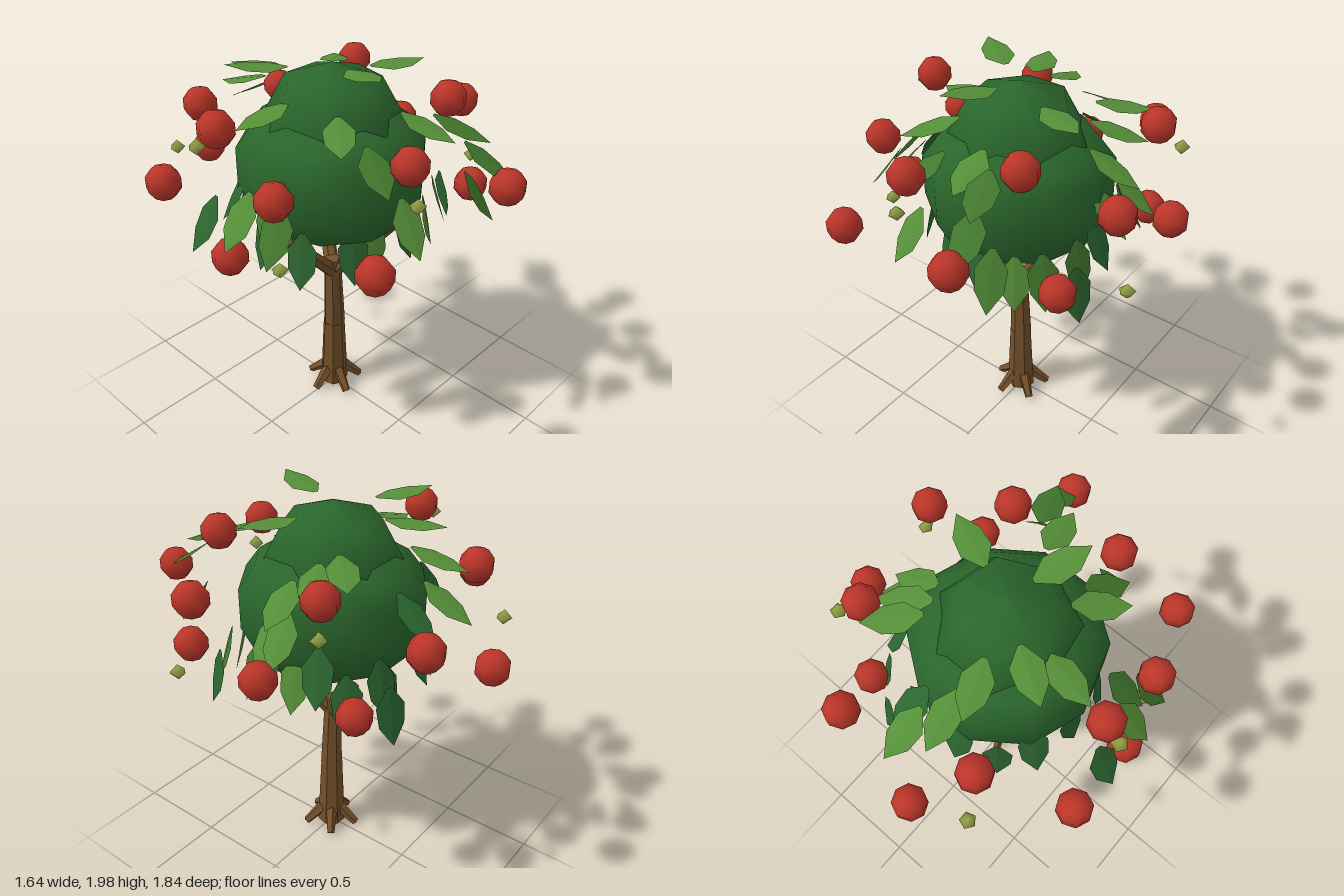
import * as THREE from 'three';

const V = (x, y, z) => new THREE.Vector3(x, y, z);

function material(name, color, options = {}) {
  const m = new THREE.MeshStandardMaterial({ color, ...options });
  m.name = name;
  return m;
}

// Tapered limb between two points
function limb(name, a, b, rA, rB, sides, mat) {
  const dir = b.clone().sub(a);
  const mesh = new THREE.Mesh(new THREE.CylinderGeometry(rB, rA, dir.length(), sides), mat);
  mesh.position.copy(a).add(b).multiplyScalar(0.5);
  mesh.quaternion.setFromUnitVectors(V(0, 1, 0), dir.normalize());
  mesh.name = name;
  return mesh;
}

// Broad pointed leaf along z, barely folded at the midrib
function leafGeometry() {
  const g = new THREE.PlaneGeometry(2, 1, 2, 3).rotateX(-Math.PI / 2);
  const widths = [0.012, 0.074, 0.066, 0];
  const along = [-0.14, -0.05, 0.05, 0.15];
  const p = g.attributes.position;
  for (let i = 0; i < p.count; i++) {
    const row = Math.floor(i / 3);
    const x = Math.sign(Math.round(p.getX(i))) * widths[row];
    p.setXYZ(i, x, -Math.abs(x) * 0.1, along[row]);
  }
  g.computeVertexNormals();
  return g;
}

// Leaf centres x, y, z and colour index (0 light, 1 mid, 2 dark)
const upperLeaves = [
  [-0.09, 1.97, 0.26, 0], [-0.30, 1.955, -0.20, 0], [0.30, 1.90, 0.125, 0], [-0.15, 1.88, -0.37, 0],
  [-0.40, 1.78, -0.06, 0], [-0.11, 1.76, -0.53, 0], [0.015, 1.63, -0.66, 0], [0.09, 1.55, -0.55, 2],
  [0.35, 1.80, -0.34, 0], [0.40, 1.73, -0.22, 0], [0.47, 1.62, -0.08, 0], [0.55, 1.49, -0.14, 0],
  [-0.29, 1.76, 0.31, 0], [-0.22, 1.62, 0.47, 1], [0.09, 1.74, 0.49, 0], [0.225, 1.72, 0.58, 1],
  [0.26, 1.59, 0.72, 1], [0.32, 1.36, 0.65, 1], [-0.17, 1.38, 0.63, 0],
];
const lowerLeaves = [
  [-0.70, 1.42, 0.09, 0], [-0.58, 1.45, 0.18, 1], [-0.66, 1.40, 0.28, 1], [-0.72, 1.33, -0.13, 2],
  [-0.46, 1.15, -0.03, 2], [-0.44, 1.14, 0.21, 2], [-0.22, 1.12, 0.34, 2], [-0.07, 1.13, 0.34, 0],
  [0.07, 1.17, 0.42, 2], [0.26, 1.15, 0.40, 0], [0.40, 1.20, 0.36, 1], [0.54, 1.15, 0.29, 2],
  [0.28, 1.13, -0.57, 2], [0.10, 1.12, -0.42, 2], [0.20, 1.20, -0.46, 2], [-0.29, 1.14, -0.40, 2],
  [-0.10, 1.22, -0.47, 2], [0.42, 1.18, -0.10, 0], [0.48, 1.26, 0.02, 2], [0.45, 1.18, 0.14, 1],
  [-0.42, 1.30, -0.28, 2], [0.46, 1.31, -0.28, 2], [0.42, 1.20, -0.42, 2], [0.50, 1.42, -0.02, 0],
];
const ripeFruit = [
  [-0.14, 1.29, -0.84], [0.32, 1.545, -0.75], [-0.345, 1.67, -0.60], [-0.74, 1.45, -0.40],
  [0.46, 1.19, -0.49], [0.53, 1.745, -0.36], [0.735, 1.395, -0.18], [-0.635, 1.78, -0.10],
  [-0.72, 1.225, 0.04], [-0.655, 1.575, 0.28], [0.69, 1.63, 0.25], [0.32, 1.795, 0.43],
  [0.54, 1.27, 0.455], [-0.17, 1.68, 0.61], [-0.505, 1.34, 0.72], [0.26, 1.50, 0.835],
];
const unripeFruit = [
  [-0.415, 1.41, -0.74], [0.63, 1.63, -0.43], [-0.73, 1.72, -0.12],
  [0.785, 1.29, 0.28], [-0.185, 1.515, 0.675], [-0.635, 1.22, 0.28],
];

export function createModel() {
  const tree = new THREE.Group();
  tree.name = 'fruitTree';

  const bark = material('bark brown', 0x74502a, { flatShading: true });
  const crownGreen = material('crown green', 0x2a662c);
  const red = material('ripe red', 0xbb3529);
  const lime = material('unripe green', 0x98a848);
  const leafOptions = { flatShading: true, side: THREE.DoubleSide };
  const leafColours = [
    material('light leaf green', 0x558f38, leafOptions),
    material('mid leaf green', 0x42782e, leafOptions),
    material('dark leaf green', 0x2b662f, leafOptions),
  ];

  // Trunk in two tapering lengths
  tree.add(limb('lowerTrunk', V(0, 0.02, 0), V(-0.003, 0.44, 0), 0.079, 0.06, 7, bark));
  tree.add(limb('upperTrunk', V(0, 0.435, 0), V(-0.013, 0.86, 0), 0.06, 0.044, 7, bark));

  // Five roots around the foot
  for (let i = 0; i < 5; i++) {
    const a = Math.PI + (i * Math.PI * 2) / 5;
    const c = Math.cos(a), s = Math.sin(a);
    tree.add(limb('root', V(c * 0.04, 0.12, s * 0.04), V(c * 0.15, 0.02, s * 0.15), 0.035, 0.022, 5, bark));
  }

  // Three spreading branches
  for (let i = 0; i < 3; i++) {
    const a = Math.PI + (i * Math.PI * 2) / 3;
    const c = Math.cos(a), s = Math.sin(a);
    tree.add(limb('branch', V(-0.01, 0.78, 0), V(c * 0.33, 1.11, s * 0.31), 0.043, 0.028, 6, bark));
  }

  // Crown: a broad ball with a smaller one on top
  const crownPart = (name, profile, sides) => {
    const points = profile.map(([r, y]) => new THREE.Vector2(r, y));
    const mesh = new THREE.Mesh(new THREE.LatheGeometry(points, sides), crownGreen);
    mesh.position.x = -0.015;
    mesh.name = name;
    tree.add(mesh);
    return mesh;
  };
  crownPart('mainCrown', [[0, 1.06], [0.25, 1.1], [0.4, 1.19], [0.473, 1.34], [0.473, 1.55],
    [0.39, 1.66], [0.26, 1.74], [0, 1.78]], 10).rotation.y = Math.PI / 10;
  crownPart('topCrown', [[0, 1.5], [0.3, 1.55], [0.345, 1.68], [0.24, 1.87], [0, 1.95]], 7);

  // Leaves point outward and droop more the lower they grow
  const leafShape = leafGeometry();
  for (const [x, y, z, colour] of [...upperLeaves, ...lowerLeaves]) {
    const leaf = new THREE.Mesh(leafShape, leafColours[colour]);
    const droop = THREE.MathUtils.clamp((1.9 - y) * 105, -9, 78);
    leaf.position.set(x, y, z);
    leaf.rotation.set(THREE.MathUtils.degToRad(droop), Math.atan2(x, z), 0, 'YXZ');
    leaf.name = 'leaf';
    tree.add(leaf);
  }

  // Fruit
  const scatter = (name, geometry, mat, places) => {
    for (const place of places) {
      const mesh = new THREE.Mesh(geometry, mat);
      mesh.position.set(...place);
      mesh.name = name;
      tree.add(mesh);
    }
  };
  scatter('ripeFruit', new THREE.SphereGeometry(0.089, 8, 5), red, ripeFruit);
  scatter('unripeFruit', new THREE.SphereGeometry(0.04, 5, 2), lime, unripeFruit);

  return tree;
}
